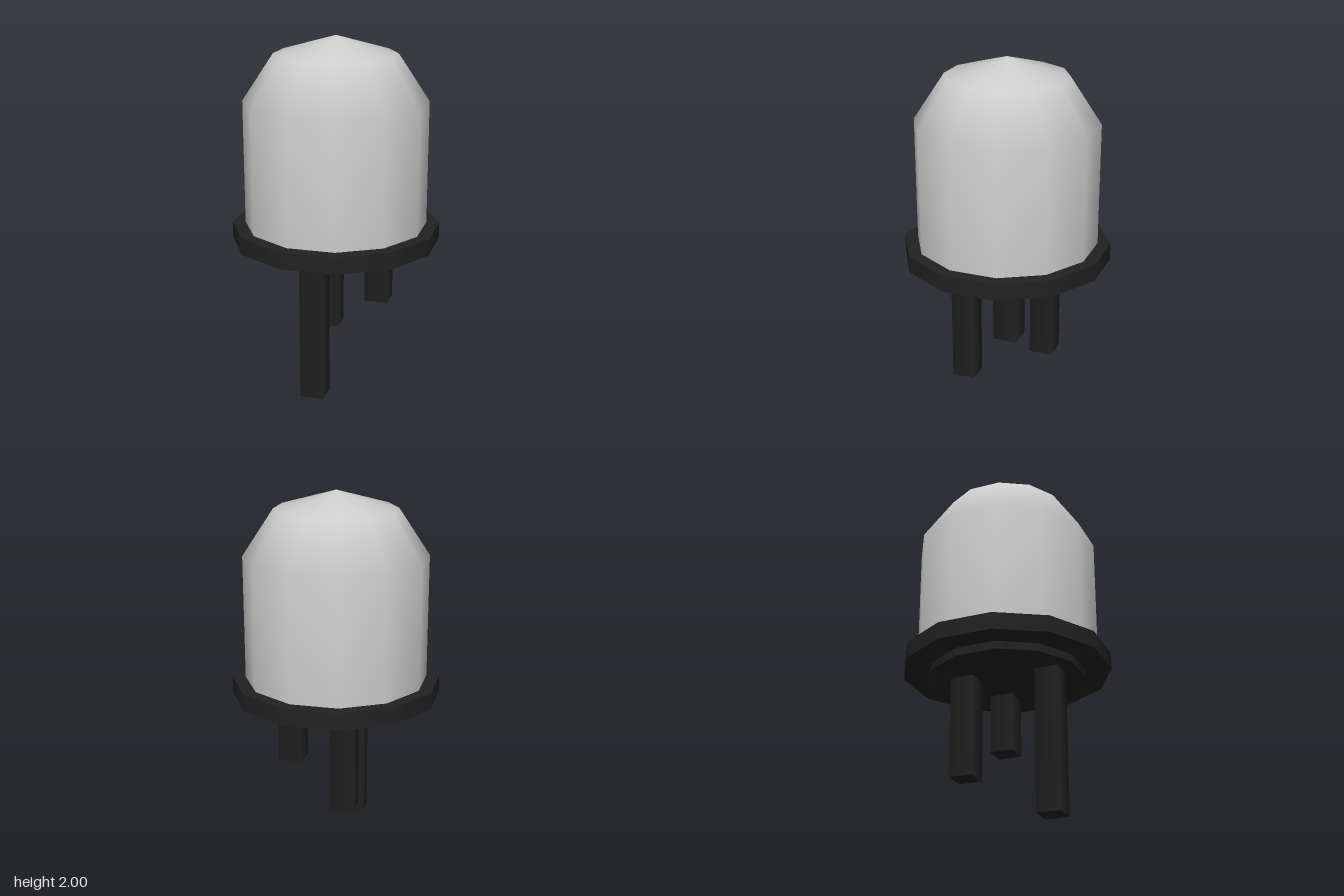
import * as THREE from 'three';

const SIDES = 12;

export function createModel() {
  const group = new THREE.Group();
  const grey = new THREE.MeshStandardMaterial({ color: 0xcccccc, side: THREE.DoubleSide });
  const dark = new THREE.MeshStandardMaterial({ color: 0x222222 });

  const add = (name, geometry, material, x = 0, y = 0, z = 0) => {
    const mesh = new THREE.Mesh(geometry, material);
    mesh.name = name;
    mesh.position.set(x, y, z);
    group.add(mesh);
  };
  // Upright prism between two heights
  const prism = (name, radius, bottom, top, sides, x = 0, z = 0) =>
    add(name, new THREE.CylinderGeometry(radius, radius, top - bottom, sides), dark, x, (bottom + top) / 2, z);

  // Smooth faceted dome
  const profile = [[0.512, 0.94], [0.512, 1.64], [0.34, 1.9], [0, 2]].map(([r, y]) => new THREE.Vector2(r, y));
  add('dome', new THREE.LatheGeometry(profile, SIDES), grey);

  // Wide rim with a smaller disc beneath it
  prism('rim', 0.585, 0.85, 0.945, SIDES);
  prism('baseDisc', 0.44, 0.805, 0.86, SIDES);

  // Three square pins of different lengths, corners along the axes
  const pins = [
    ['longPin', -0.227, 0.163, 0],
    ['middlePin', 0.076, -0.208, 0.235],
    ['shortPin', 0.233, 0.09, 0.465],
  ];
  for (const [name, x, z, bottom] of pins) prism(name, 0.095, bottom, 0.83, 4, x, z);

  return group;
}
